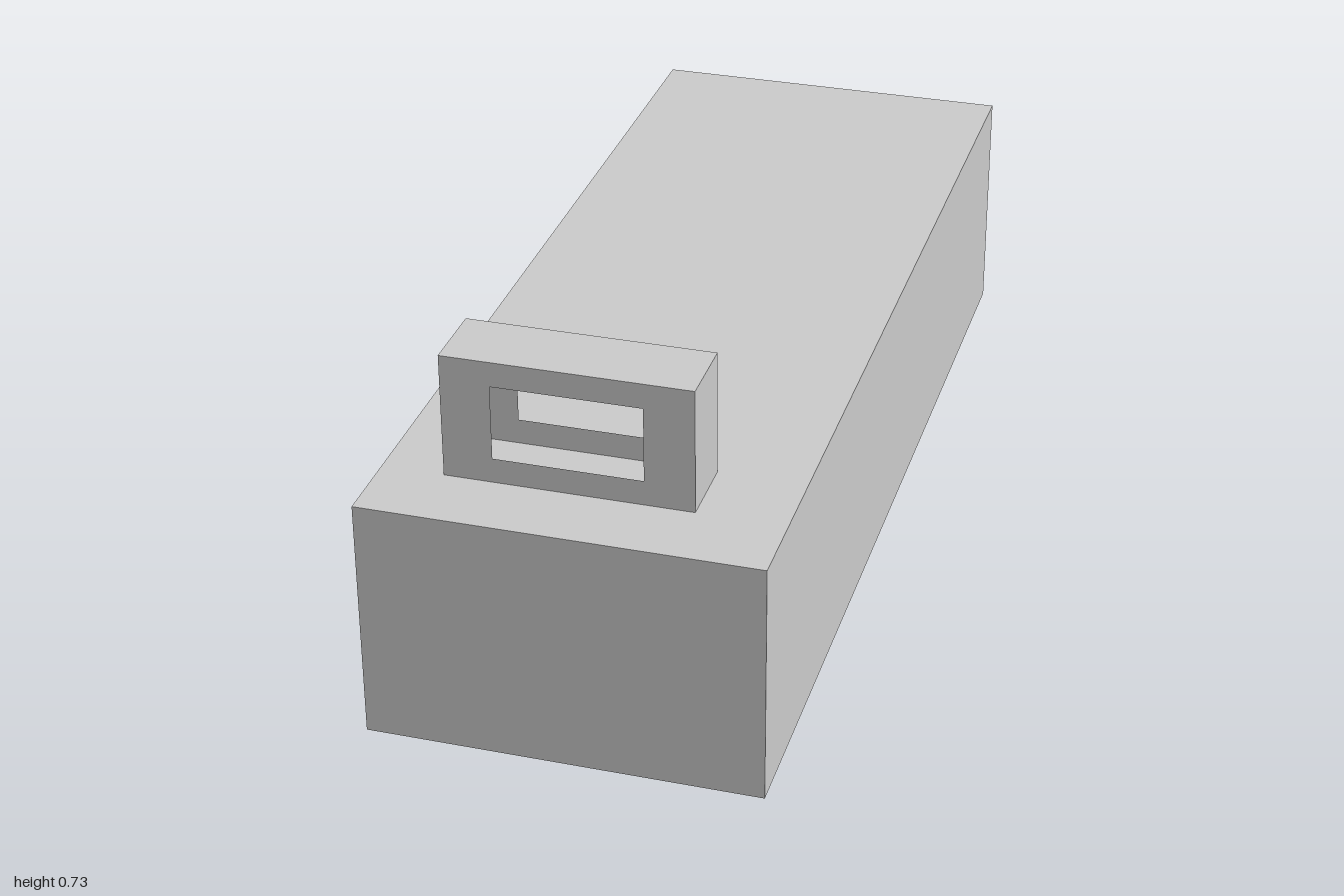
import * as THREE from 'three';

export function createModel() {
  const model = new THREE.Group();
  const solid = new THREE.MeshStandardMaterial({ color: 0xcccccc, flatShading: true });
  const thin = new THREE.MeshStandardMaterial({ color: 0xcccccc, flatShading: true, side: THREE.DoubleSide });

  const add = (parent, name, geometry, material, x, y, z) => {
    const mesh = new THREE.Mesh(geometry, material);
    mesh.name = name;
    mesh.position.set(x, y, z);
    parent.add(mesh);
    return mesh;
  };

  // Long solid block
  const top = 0.483;
  add(model, 'block', new THREE.BoxGeometry(0.758, top, 2), solid, 0, top / 2, 0);

  // Hollow thin-walled housing, open through front and back
  const w = 0.47, h = 0.245, d = 0.143, cx = -0.025, cz = 0.783;
  const housing = new THREE.Group();
  housing.name = 'housing';
  housing.position.set(cx, top + h / 2, cz);
  model.add(housing);

  const rect = (target, a, b) => {
    target.moveTo(-a / 2, -b / 2);
    target.lineTo(a / 2, -b / 2);
    target.lineTo(a / 2, b / 2);
    target.lineTo(-a / 2, b / 2);
    target.closePath();
    return target;
  };
  const plate = rect(new THREE.Shape(), w, h);
  plate.holes.push(rect(new THREE.Path(), w * 0.6, h * 0.6));

  // Front and back plates with a window, and the two side walls
  for (const s of [1, -1]) {
    const face = add(housing, s > 0 ? 'frontPlate' : 'backPlate', new THREE.ShapeGeometry(plate), thin, 0, 0, s * d / 2);
    if (s < 0) face.rotation.y = Math.PI;
    const side = add(housing, s > 0 ? 'leftWall' : 'rightWall', new THREE.PlaneGeometry(d, h), thin, s * w / 2, 0, 0);
    side.rotation.y = s * Math.PI / 2;
  }

  // Roof
  const roof = add(housing, 'roof', new THREE.PlaneGeometry(w, d), thin, 0, h / 2, 0);
  roof.rotation.x = -Math.PI / 2;

  return model;
}
